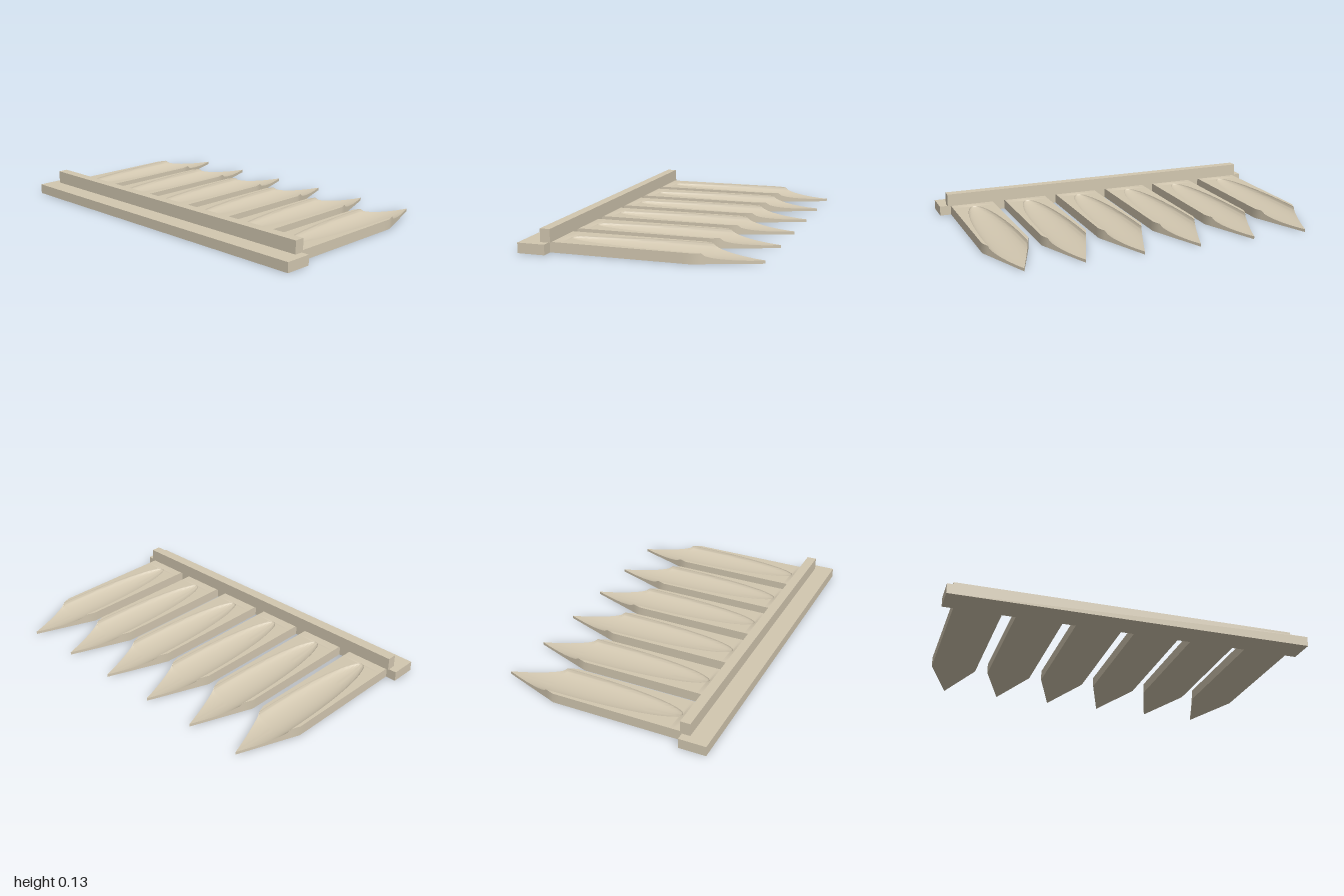
import * as THREE from 'three';
import { toCreasedNormals } from 'three/addons/utils/BufferGeometryUtils.js';

const TOP = 0.055;                                  // thickness of bar and fingers
const BACK = -0.47, SHOULDER = 0.275, TIP = 0.62;   // finger stations along x
const HALF = 0.126;                                 // finger half width
const SCOOP = { x: 0.27, a: 0.68, b: 0.108, d: 0.045 }; // hollow: centre and semi-axes
const SEG = 24;

// One cross-section: outer wall, rim, elliptical hollow, rim, outer wall
function fingerSection(x) {
  const w = HALF * Math.min(1, (TIP - x) / (TIP - SHOULDER));
  const u = (x - SCOOP.x) / SCOOP.a;
  const q = Math.sqrt(Math.max(0, 1 - u * u));
  const s = SCOOP.b * q;
  const limit = w < s ? Math.asin(w / s) : Math.PI / 2;
  const edgeY = TOP - SCOOP.d * q * Math.cos(limit);
  const points = [[x, 0, -w], [x, edgeY, -w]];
  for (let i = 0; i <= SEG; i++) {
    const t = limit * (2 * i / SEG - 1);
    points.push([x, TOP - SCOOP.d * q * Math.cos(t), s * Math.sin(t)]);
  }
  points.push([x, edgeY, w], [x, 0, w]);
  return points.map(p => new THREE.Vector3(...p));
}

// Pointed finger lofted through its cross-sections
function fingerGeometry() {
  const xs = [BACK];
  for (let i = 0; i <= 32; i++) xs.push(SCOOP.x - SCOOP.a * Math.cos(i / 32 * Math.PI / 2));
  xs.push(SHOULDER);
  const meet = TIP - (TIP - SHOULDER) * SCOOP.b / HALF; // hollow breaks through the taper
  for (let i = 0; i <= 14; i++) xs.push(meet + (TIP - meet) * i / 14);

  const rings = xs.map(fingerSection);
  const positions = [];
  const tri = (a, b, c) => {
    const area = b.clone().sub(a).cross(c.clone().sub(a)).length();
    if (area > 1e-9) for (const p of [a, b, c]) positions.push(p.x, p.y, p.z);
  };
  for (let i = 0; i < rings.length - 1; i++) {
    const r = rings[i], n = rings[i + 1];
    for (let j = 0; j < r.length; j++) {
      const k = (j + 1) % r.length;
      tri(r[j], r[k], n[j]);
      tri(r[k], n[k], n[j]);
    }
  }
  const geometry = new THREE.BufferGeometry();
  geometry.setAttribute('position', new THREE.Float32BufferAttribute(positions, 3));
  return toCreasedNormals(geometry, 0.65);
}

export function createModel() {
  const model = new THREE.Group();
  model.name = 'fingerRack';
  const material = new THREE.MeshStandardMaterial({ color: 0xd2c7b0 });

  const addBox = (name, x0, x1, y0, y1, length) => {
    const mesh = new THREE.Mesh(new THREE.BoxGeometry(x1 - x0, y1 - y0, length), material);
    mesh.position.set((x0 + x1) / 2, (y0 + y1) / 2, 0);
    mesh.name = name;
    model.add(mesh);
  };
  addBox('baseBar', -0.62, BACK, 0, TOP, 2);
  addBox('topRail', -0.515, -0.46, TOP, 0.126, 1.91);

  // Six evenly spaced scooped fingers
  const geometry = fingerGeometry();
  for (let i = 0; i < 6; i++) {
    const finger = new THREE.Mesh(geometry, material);
    finger.position.z = -0.815 + i * 0.325;
    finger.name = `finger${i + 1}`;
    model.add(finger);
  }
  return model;
}
